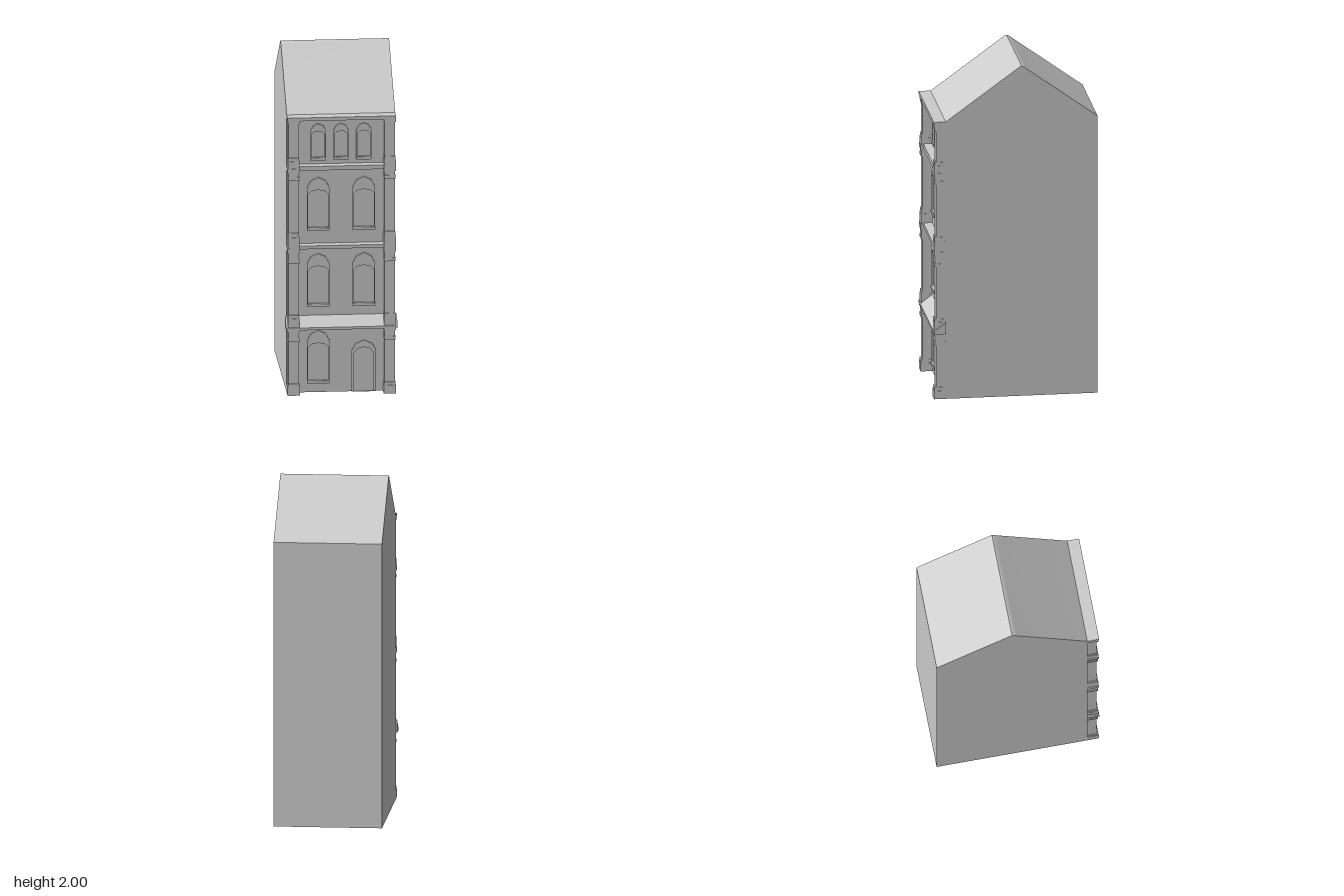
import * as THREE from 'three';
import { toCreasedNormals } from 'three/addons/utils/BufferGeometryUtils.js';

const material = new THREE.MeshStandardMaterial({ color: 0xcccccc });
const WALL = 0.41; // z of the facade wall

function addMesh(parent, name, geometry) {
  const mesh = new THREE.Mesh(geometry, material);
  mesh.name = name;
  parent.add(mesh);
  return mesh;
}

// Box given by its limits on each axis
function addBox(parent, name, x0, x1, y0, y1, z0, z1) {
  const mesh = addMesh(parent, name, new THREE.BoxGeometry(x1 - x0, y1 - y0, z1 - z0));
  mesh.position.set((x0 + x1) / 2, (y0 + y1) / 2, (z0 + z1) / 2);
  return mesh;
}

// Extrude a [z, y] outline along x, centred
function sideProfile(points, width) {
  const shape = new THREE.Shape(points.map(p => new THREE.Vector2(...p)));
  const geometry = new THREE.ExtrudeGeometry(shape, { depth: width, bevelEnabled: false });
  return geometry.translate(0, 0, -width / 2).rotateY(-Math.PI / 2);
}

// Outline of an opening with a faceted arched head
function archPoints(half, y0, y1, rise) {
  return [
    [-half, y0], [half, y0], [half, y1 - rise], [half * 0.66, y1 - rise * 0.33],
    [0, y1], [-half * 0.66, y1 - rise * 0.33], [-half, y1 - rise],
  ].map(p => new THREE.Vector2(...p));
}

// Raised surround with the wall showing through as the pane
function addOpening(parent, name, x, outer, inner) {
  const shape = new THREE.Shape(archPoints(...outer));
  shape.holes.push(new THREE.Path(archPoints(...inner).reverse()));
  const geometry = new THREE.ExtrudeGeometry(shape, { depth: 0.012, bevelEnabled: false });
  addMesh(parent, name, geometry).position.set(x, 0, WALL - 0.002);
}

function addWindow(parent, x, half, y0, y1, headDepth) {
  const rise = half * 0.95;
  addOpening(parent, 'windowSurround', x,
    [half, y0, y1, rise], [half - 0.006, y0 + 0.018, y1 - headDepth, half * 0.4]);
  addBox(parent, 'windowSill', x - half, x + half, y0, y0 + 0.016, WALL, WALL + 0.016);
}

export function createModel() {
  const model = new THREE.Group();
  model.name = 'townhouse';

  // House body with a gable roof and softly rounded ridge
  const body = sideProfile([
    [-0.48, 0], [WALL, 0], [WALL, 1.68], [-0.01, 1.986], [-0.02, 1.994],
    [-0.035, 2], [-0.05, 1.994], [-0.06, 1.986], [-0.48, 1.68],
  ], 0.632);
  addMesh(model, 'houseBody', toCreasedNormals(body, 0.5));

  // Corner pilasters: shaft plus stepped bases and capitals [y0, y1, inset]
  const tiers = [
    [0, 0.05, 0], [0.05, 0.07, 0.003],
    [0.325, 0.345, 0.003], [0.345, 0.385, 0.005], [0.385, 0.41, 0], [0.41, 0.465, 0.002], [0.465, 0.485, 0.004],
    [0.80, 0.82, 0.003], [0.82, 0.86, 0.005], [0.86, 0.89, 0], [0.89, 0.955, 0.002], [0.955, 0.98, 0.004],
    [1.30, 1.32, 0.003], [1.32, 1.345, 0.005], [1.345, 1.37, 0], [1.37, 1.415, 0.002], [1.415, 1.435, 0.004],
    [1.62, 1.64, 0.005], [1.64, 1.662, 0.002],
  ];
  for (const side of [-1, 1]) {
    const pilaster = new THREE.Group();
    pilaster.name = side > 0 ? 'leftPilaster' : 'rightPilaster';
    const x = side * 0.28;
    addBox(pilaster, 'shaft', x - 0.03, x + 0.03, 0, 1.67, WALL, 0.466);
    for (const [y0, y1, inset] of tiers) {
      const half = 0.036 - inset;
      addBox(pilaster, 'pilasterBlock', x - half, x + half, y0, y1, WALL, 0.478 - inset);
    }
    model.add(pilaster);
  }

  // Floor ledges and top cornice
  for (const [y0, y1] of [[0.88, 0.9], [1.355, 1.38]]) {
    addBox(model, 'floorLedge', -0.25, 0.25, y0, y1, WALL, 0.463);
  }
  addBox(model, 'topCornice', -0.316, 0.316, 1.66, 1.68, WALL, 0.48);

  // Sloped canopy above the ground floor
  addMesh(model, 'canopy', toCreasedNormals(sideProfile([
    [WALL, 0.395], [0.48, 0.395], [0.48, 0.41], [WALL, 0.465],
  ], 0.65), 0.3));

  // Windows of the lower three floors
  for (const [x, y0] of [[-0.133, 0.055], [-0.133, 0.52], [0.133, 0.52], [-0.133, 0.98], [0.133, 0.98]]) {
    addWindow(model, x, 0.066, y0, y0 + 0.32, 0.075);
  }
  // Small attic windows
  for (const x of [-0.133, 0, 0.133]) addWindow(model, x, 0.044, 1.405, 1.625, 0.045);

  // Door surround
  addOpening(model, 'doorSurround', 0.133, [0.071, 0, 0.31, 0.06], [0.057, 0.001, 0.27, 0.035]);

  return model;
}
